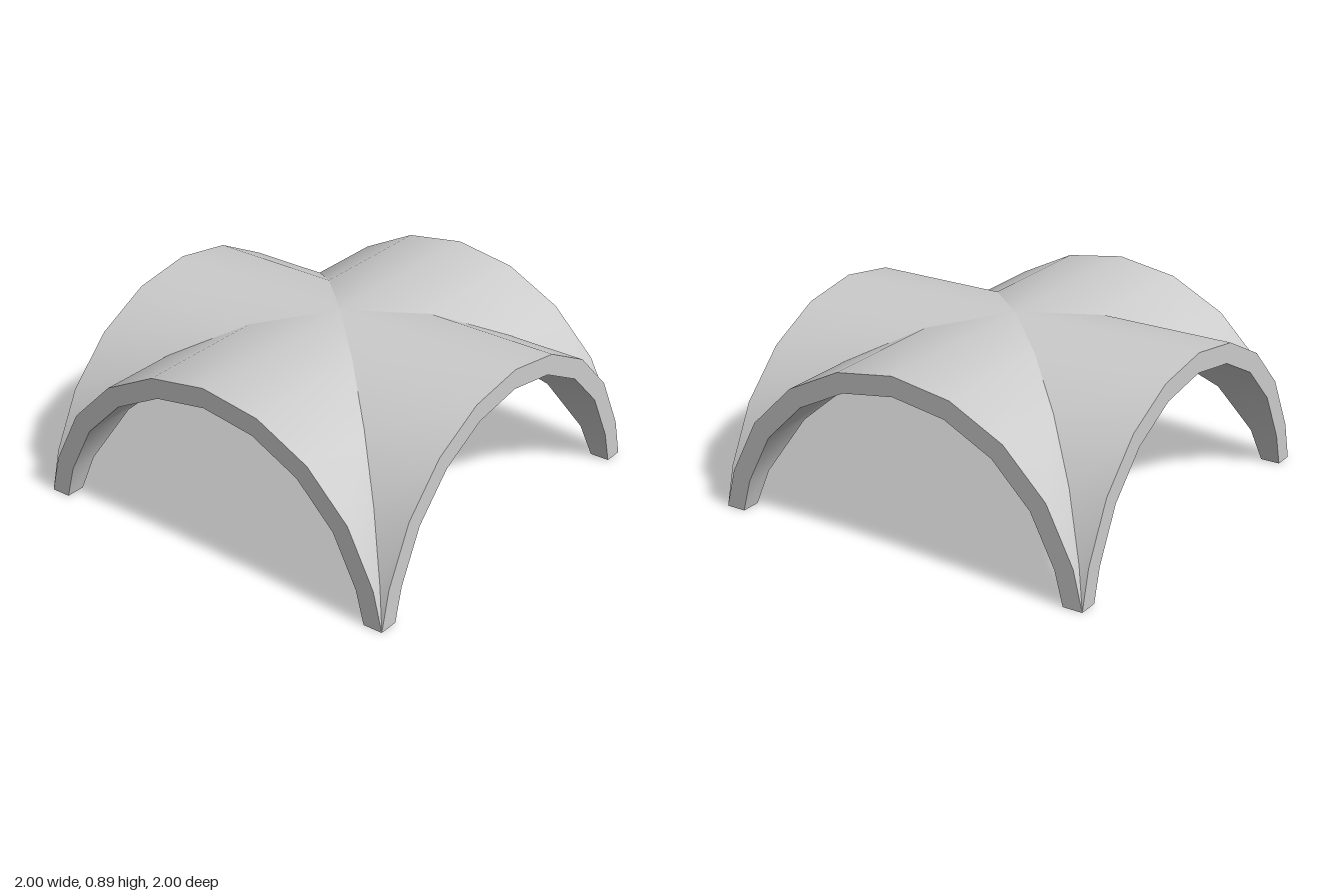
import * as THREE from 'three';

// Faceted half-round arch profile, cut off at the ground
const SEGMENTS = 10;
const DROP = 0.112;
function archProfile(radius) {
  const points = [];
  for (let i = 0; i <= SEGMENTS; i++) {
    const a = -Math.PI / 2 + (i / SEGMENTS) * Math.PI;
    points.push([radius * Math.sin(a), Math.max(0, radius * Math.cos(a) - DROP)]);
  }
  return points;
}

// Smooth surface between two matching rows of points
function strip(rowA, rowB) {
  const positions = [], index = [];
  rowA.forEach((p, i) => {
    positions.push(...p, ...rowB[i]);
    if (i === 0) return;
    const a0 = 2 * i - 2, b0 = a0 + 1, a1 = a0 + 2, b1 = a0 + 3;
    index.push(a0, b0, b1, a0, b1, a1);
  });
  const geometry = new THREE.BufferGeometry();
  geometry.setAttribute('position', new THREE.Float32BufferAttribute(positions, 3));
  geometry.setIndex(index);
  geometry.computeVertexNormals();
  return geometry;
}

export function createModel() {
  const model = new THREE.Group();
  model.name = 'groinVault';
  const material = new THREE.MeshStandardMaterial({ color: 0xcccccc });

  const outer = archProfile(1), inner = archProfile(0.9);
  const atGroin = (profile) => profile.map(([x, y]) => [x, y, Math.abs(x)]);
  const atRim = (profile) => profile.map(([x, y]) => [x, y, 1]);

  // Surfaces of one vault bay, running from the diagonal groins to the open rim
  const parts = {
    vaultTop: strip(atGroin(outer), atRim(outer)),
    vaultUnderside: strip(atRim(inner), atGroin(inner)),
    archFace: strip(atRim(outer), atRim(inner)),
    footBase: new THREE.PlaneGeometry(0.1, 0.1).rotateX(Math.PI / 2).translate(0.95, 0, 0.95),
  };

  // Four identical bays around the centre
  ['front', 'left', 'back', 'right'].forEach((side, i) => {
    const bay = new THREE.Group();
    bay.name = side + 'Bay';
    for (const [name, geometry] of Object.entries(parts)) {
      const mesh = new THREE.Mesh(geometry, material);
      mesh.name = name;
      bay.add(mesh);
    }
    bay.rotation.y = (i * Math.PI) / 2;
    model.add(bay);
  });
  return model;
}
